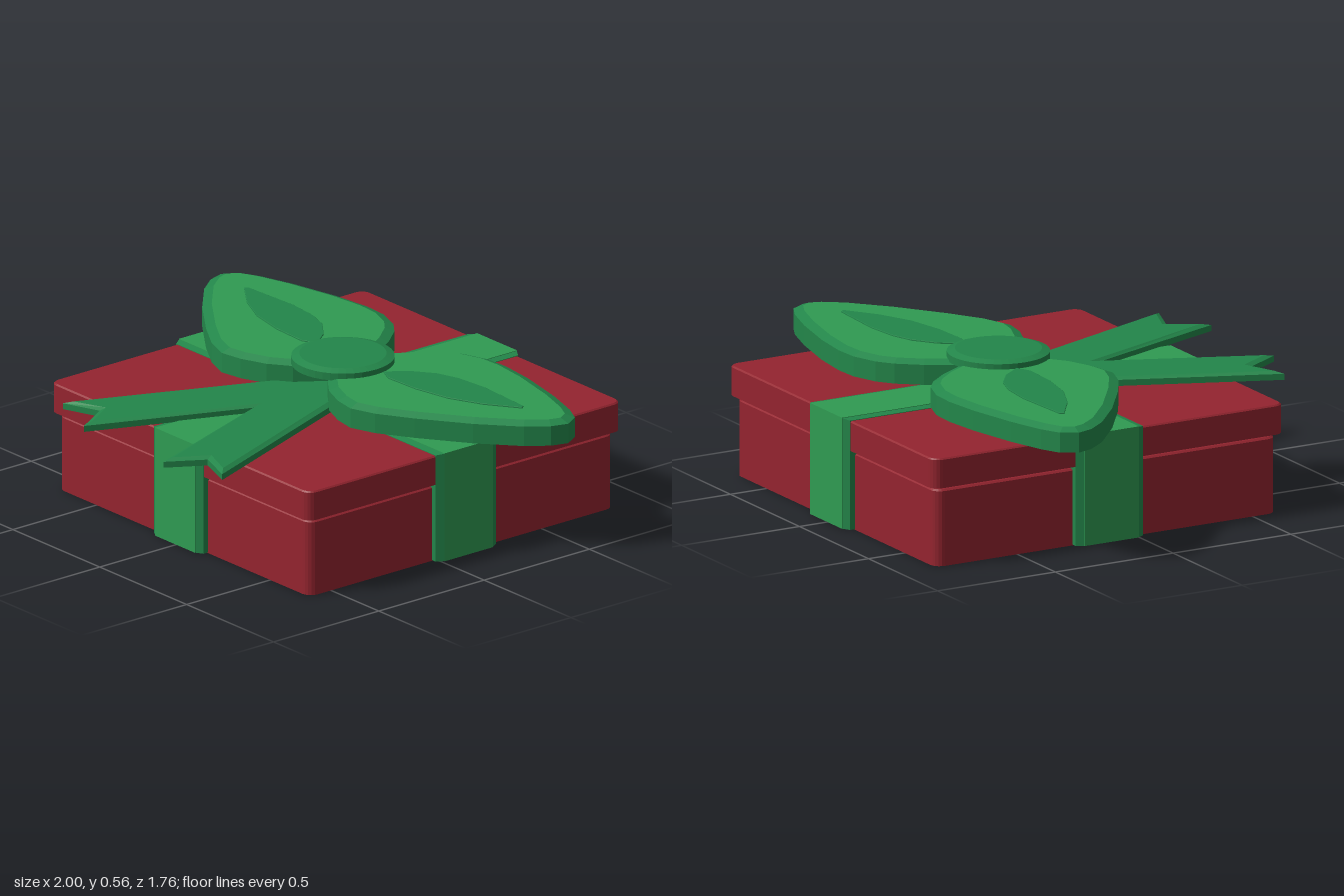
import * as THREE from 'three';
import { ConvexGeometry } from 'three/addons/geometries/ConvexGeometry.js';

const red = new THREE.MeshStandardMaterial({ name: 'box red', color: 0x94242f });
const green = new THREE.MeshStandardMaterial({ name: 'ribbon green', color: 0x2f9b52 });
const darkGreen = new THREE.MeshStandardMaterial({ name: 'dark ribbon green', color: 0x23864a });

// Flat slab from an [x, z] outline: walls y0..y1, then a bevel of width inset up to y2.
// Group 0 is the walls and underside, group 1 the top face.
function slab(outline, inset, y0, y1, y2) {
  const p = outline.map(([x, z]) => new THREE.Vector2(x, -z));
  if (THREE.ShapeUtils.isClockWise(p)) p.reverse();
  const n = p.length;
  const inward = (a, b) => new THREE.Vector2(a.y - b.y, b.x - a.x).normalize();
  const inner = p.map((v, i) => {
    const n1 = inward(p[(i + n - 1) % n], v), n2 = inward(v, p[(i + 1) % n]);
    const k = inset / Math.max(0.4, 1 + n1.dot(n2));
    return v.clone().addScaledVector(n1.add(n2), k);
  });
  const pos = [];
  const put = (v, y) => pos.push(v.x, y, -v.y);
  const band = (a, ya, b, yb) => {
    for (let i = 0; i < n; i++) {
      const j = (i + 1) % n;
      put(a[i], ya); put(a[j], ya); put(b[j], yb);
      put(a[i], ya); put(b[j], yb); put(b[i], yb);
    }
  };
  band(p, y0, p, y1);
  band(p, y1, inner, y2);
  for (const [a, b, c] of THREE.ShapeUtils.triangulateShape(p, [])) {
    put(p[a], y0); put(p[c], y0); put(p[b], y0);
  }
  const split = pos.length / 3;
  for (const t of THREE.ShapeUtils.triangulateShape(inner, [])) t.forEach((i) => put(inner[i], y2));
  const g = new THREE.BufferGeometry();
  g.setAttribute('position', new THREE.Float32BufferAttribute(pos, 3));
  g.addGroup(0, split, 0);
  g.addGroup(split, pos.length / 3 - split, 1);
  g.computeVertexNormals();
  return g;
}

// Square outline with rounded corners
function roundedSquare(half, r) {
  const pts = [];
  for (let c = 0; c < 4; c++) {
    for (let i = 0; i <= 5; i++) {
      const a = (c + i / 5) * Math.PI / 2, m = (c + 0.5) * Math.PI / 2;
      pts.push([
        Math.sign(Math.cos(m)) * (half - r) + r * Math.cos(a),
        Math.sign(Math.sin(m)) * (half - r) + r * Math.sin(a),
      ]);
    }
  }
  return pts;
}

const mirror = (pts, s) => pts.map(([x, z]) => [x * s, z]);

export function createModel() {
  const model = new THREE.Group();
  model.name = 'giftBox';
  const add = (parent, name, geometry, material) => {
    const mesh = new THREE.Mesh(geometry, material);
    mesh.name = name;
    parent.add(mesh);
    return mesh;
  };

  // Box, with a recessed neck under the lid
  const box = new THREE.Group();
  box.name = 'box';
  box.position.z = -0.122;
  model.add(box);
  add(box, 'body', slab(roundedSquare(0.725, 0.04), 0.008, 0, 0.285, 0.291), [red, red]);
  add(box, 'neck', slab(roundedSquare(0.7, 0.03), 0.001, 0.28, 0.305, 0.31), [red, red]);
  add(box, 'lid', slab(roundedSquare(0.746, 0.04), 0.006, 0.304, 0.412, 0.417), [red, red]);

  // Two crossing straps: bevelled dark core with light outer faces
  for (const [name, turn] of [['sideStrap', 0], ['frontStrap', Math.PI / 2]]) {
    const strap = new THREE.Group();
    strap.name = name;
    strap.rotation.y = turn;
    box.add(strap);
    const pts = [];
    for (const sx of [-1, 1]) for (const sz of [-1, 1]) for (const t of [0, 1]) {
      pts.push(new THREE.Vector3(sx * 0.763, t ? 0.424 : 0.003, sz * 0.115));
      pts.push(new THREE.Vector3(sx * 0.747, t ? 0.419 : 0.003, sz * 0.143));
    }
    add(strap, 'strapEdges', new ConvexGeometry(pts), darkGreen);
    add(strap, 'strapTop', new THREE.BoxGeometry(1.53, 0.003, 0.23), green).position.y = 0.4245;
    for (const s of [-1, 1]) {
      add(strap, 'strapSide', new THREE.BoxGeometry(0.004, 0.422, 0.23), green).position.set(s * 0.763, 0.214, 0);
    }
  }

  // Bow
  const bow = new THREE.Group();
  bow.name = 'bow';
  model.add(bow);
  const loop = [
    [0.005, -0.32], [0.07, -0.43], [0.14, -0.515], [0.2, -0.56], [0.3, -0.595], [0.4, -0.6],
    [0.55, -0.583], [0.75, -0.54], [0.89, -0.497], [0.965, -0.46], [1, -0.4], [0.98, -0.335],
    [0.92, -0.255], [0.78, -0.13], [0.6, 0], [0.47, 0.08], [0.37, 0.115], [0.28, 0.1],
    [0.18, 0.06], [0.1, 0], [0.01, -0.13],
  ];
  const hollow = [
    [0.19, -0.19], [0.25, -0.27], [0.33, -0.33], [0.42, -0.36], [0.55, -0.373], [0.79, -0.36],
    [0.8, -0.345], [0.68, -0.26], [0.55, -0.2], [0.4, -0.17], [0.25, -0.163],
  ];
  for (const [side, s] of [['left', 1], ['right', -1]]) {
    add(bow, side + 'Loop', slab(mirror(loop, s), 0.035, 0.44, 0.516, 0.53), [darkGreen, green]);
    add(bow, side + 'LoopHollow', slab(mirror(hollow, s), 0.002, 0.529, 0.534, 0.535), [darkGreen, darkGreen]);
  }

  // Forked tails
  const tails = [
    [0.08, -0.16], [0.15, 0], [0.45, 0.79], [0.3, 0.735], [0.215, 0.875], [-0.005, 0.265],
    [-0.255, 0.865], [-0.34, 0.72], [-0.485, 0.775], [-0.16, 0], [-0.08, -0.16],
  ];
  add(bow, 'tails', slab(tails, 0.02, 0.422, 0.445, 0.454), [darkGreen, darkGreen]);

  // Knot
  const profile = [[0, 0.48], [0.09, 0.48], [0.09, 0.522], [0.19, 0.522], [0.19, 0.55], [0.16, 0.56], [0, 0.56]];
  const knot = new THREE.LatheGeometry(profile.map(([x, y]) => new THREE.Vector2(x, y)), 40).toNonIndexed();
  knot.computeVertexNormals();
  add(bow, 'knot', knot, darkGreen).position.z = -0.155;

  return model;
}
